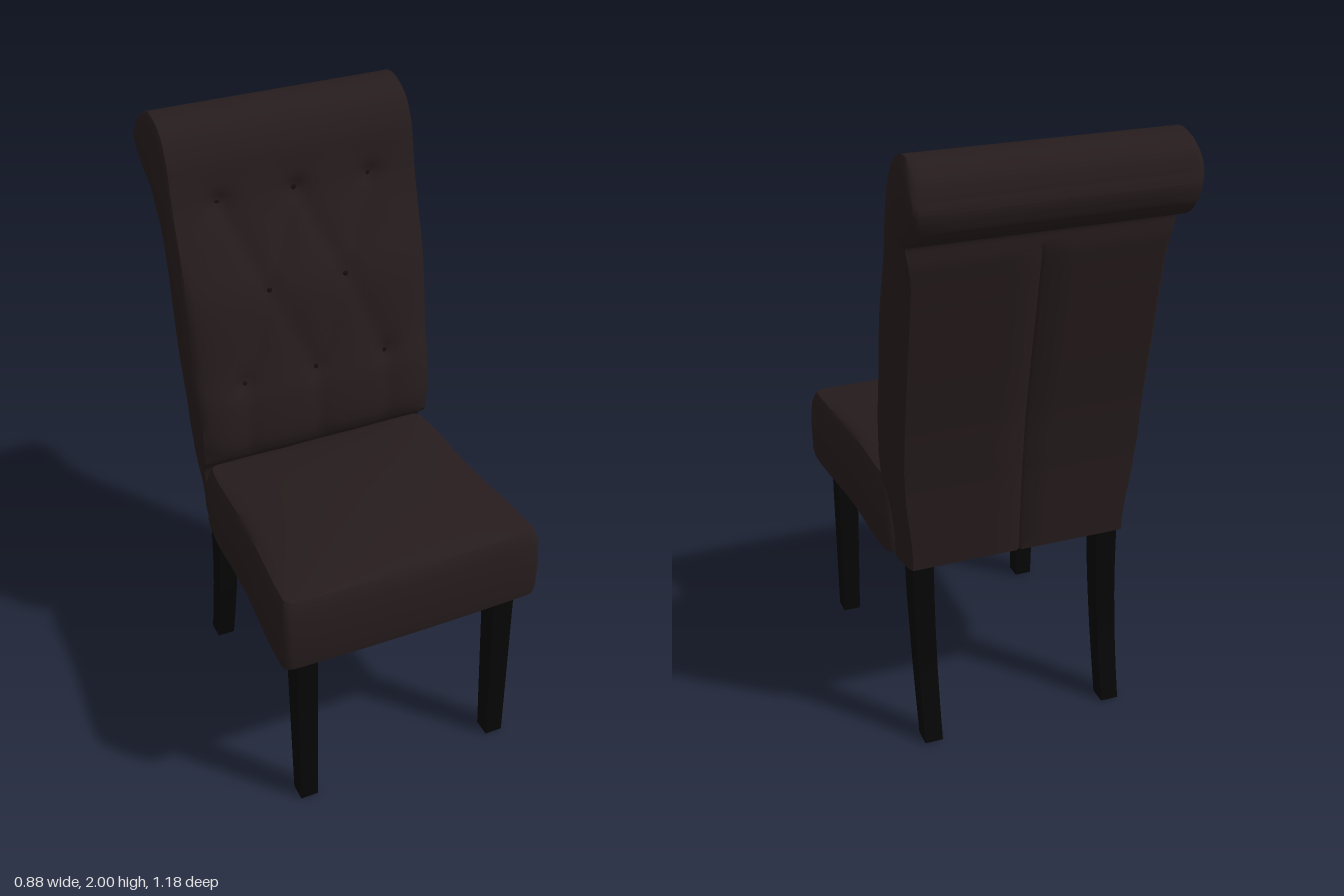
import * as THREE from 'three';
import { toCreasedNormals } from 'three/addons/utils/BufferGeometryUtils.js';

// Skin a stack of counter-clockwise rings (bottom to top) and cap both ends
function loft(rings, crease) {
  const n = rings[0].length, pos = [], idx = [];
  rings.forEach(r => r.forEach(p => pos.push(p.x, p.y, p.z)));
  for (let i = 0; i < rings.length - 1; i++) {
    for (let j = 0; j < n; j++) {
      const k = (j + 1) % n, a = i * n + j, b = i * n + k, c = a + n, d = b + n;
      idx.push(a, b, d, a, d, c);
    }
  }
  [0, rings.length - 1].forEach((row, end) => {
    const mid = new THREE.Vector3();
    rings[row].forEach(p => mid.addScaledVector(p, 1 / n));
    const m = pos.length / 3;
    pos.push(mid.x, mid.y, mid.z);
    for (let j = 0; j < n; j++) {
      const a = row * n + j, b = row * n + (j + 1) % n;
      if (end) idx.push(a, b, m); else idx.push(b, a, m);
    }
  });
  const g = new THREE.BufferGeometry();
  g.setAttribute('position', new THREE.Float32BufferAttribute(pos, 3));
  g.setIndex(idx);
  return toCreasedNormals(g, crease);
}

const V = (x, y, z) => new THREE.Vector3(x, y, z);
const smooth = THREE.MathUtils.smoothstep;
const curve = pts => new THREE.CatmullRomCurve3(pts.map(([z, y]) => V(0, y, z)), false, 'centripetal');

// Backrest: matching front and rear profiles (z, y), meeting at the rear of the roll
const frontCurve = curve([[-.19, .63], [-.19, .86], [-.14, .9], [-.118, .95], [-.124, 1.1], [-.15, 1.22], [-.195, 1.45],
  [-.25, 1.6], [-.298, 1.73], [-.315, 1.8], [-.335, 1.89], [-.375, 1.96], [-.44, 1.995], [-.5, 1.995], [-.56, 1.955], [-.588, 1.88]]);
const rearCurve = curve([[-.31, .63], [-.325, .86], [-.33, .92], [-.336, .97], [-.35, 1.1], [-.37, 1.22], [-.41, 1.43],
  [-.435, 1.56], [-.457, 1.68], [-.462, 1.745], [-.485, 1.75], [-.515, 1.76], [-.55, 1.78], [-.575, 1.81], [-.588, 1.85], [-.59, 1.87]]);

// Tufting: buttons and the folds that join them
const buttons = [[-.255, 1.74], [0, 1.74], [.255, 1.74], [-.132, 1.455], [.132, 1.455], [-.25, 1.17], [0, 1.17], [.25, 1.17]];
const folds = [];
for (const s of [-1, 1]) {
  for (const [x, y] of [[.255, 1.74], [0, 1.74], [.25, 1.17], [0, 1.17]]) folds.push([s * .132, 1.455, s * x, y, 1]);
  folds.push([s * .25, 1.17, s * .25, .93, .8]);
}
folds.push([0, 1.17, 0, .93, .8]);

function tuft(x, y) {
  let depth = 0;
  for (const [ax, ay, bx, by, k] of folds) {
    const dx = bx - ax, dy = by - ay;
    const t = THREE.MathUtils.clamp(((x - ax) * dx + (y - ay) * dy) / (dx * dx + dy * dy), 0, 1);
    const d = Math.hypot(x - ax - t * dx, y - ay - t * dy);
    depth = Math.max(depth, .018 * k * Math.exp(-d / .045));
  }
  for (const [bx, by] of buttons) depth += .012 * Math.exp(-(((x - bx) ** 2 + (y - by) ** 2) / .0012));
  return depth;
}

function backrestGeometry() {
  const rings = [], rows = 90, cols = 40;
  for (let i = 0; i <= rows; i++) {
    const F = frontCurve.getPoint(i / rows), B = rearCurve.getPoint(i / rows);
    const thick = F.distanceTo(B);
    const w = .375 + .031 * smooth(F.y, .65, .98);
    const rearW = w * (.95 + .05 * smooth(B.y, 1.6, 1.76));
    const bulge = (.01 + .016 * smooth(F.y, .9, 1.3)) * Math.min(1, thick / .15);
    const onFront = F.z > -.38 ? 1 : 0;
    // the front face rolls back toward its side edges
    const edge = .032 * smooth(F.y, .86, .95) * (1 - smooth(F.y, 1.2, 1.8));
    const ring = [], sides = [.06, .2, .4, .6, .8, .94];
    const side = (s, dir) => {
      const p = F.clone().setZ(F.z - edge).lerp(B, s);
      p.x = dir * (THREE.MathUtils.lerp(w, rearW, s) + bulge * Math.pow(Math.sin(Math.PI * s), .6));
      ring.push(p);
    };
    for (let j = 0; j <= cols; j++) {
      const u = 2 * j / cols - 1;
      ring.push(V(u * w, F.y, F.z - onFront * tuft(u * w, F.y) * (1 - u ** 8) - edge * u ** 8));
    }
    sides.forEach(s => side(s, 1));
    // rear face with a centre seam groove
    const groove = F.y < 1.75 ? .008 : 0;
    for (const u of [1, .75, .5, .25, .03, 0, -.03, -.25, -.5, -.75, -1]) {
      ring.push(V(u * rearW, B.y, B.z + (u === 0 ? groove : 0)));
    }
    [...sides].reverse().forEach(s => side(s, -1));
    rings.push(ring);
  }
  return loft(rings, .75);
}

// Seat: rounded square outline in u, v, widened toward the front
function seatGeometry() {
  const outline = [], r = .07;
  for (let c = 0; c < 4; c++) {
    const rot = (u, v) => {
      const a = c * Math.PI / 2;
      return [u * Math.cos(a) + v * Math.sin(a), -u * Math.sin(a) + v * Math.cos(a)];
    };
    // each side runs toward its next counter-clockwise corner
    for (let k = 0; k < 9; k++) outline.push(rot(-(1 - r) + 2 * (1 - r) * k / 9, 1));
    for (let k = 0; k < 4; k++) {
      const a = Math.PI / 2 * k / 4;
      outline.push(rot(1 - r + r * Math.sin(a), 1 - r + r * Math.cos(a)));
    }
  }
  const ring = (k, yOf) => outline.map(([a, b]) => {
    const u = a * k, v = b * k;
    const z = .198 + v * .384 + (v > 0 ? .008 * v * (1 - u * u) : 0);
    const half = .412 + .03 * smooth(z, .1, .55) - .01 * (1 - smooth(z, -.18, -.05));
    return V(u * half, yOf(u, v), z);
  });
  const levels = [[.95, .622], [.985, .63], [.997, .66], [1, .75], [.99, .83], [.965, .87], [.95, .88]];
  const rings = levels.map(([k, y]) => ring(k, () => y));
  const crown = (u, v) => .88 + .052 * Math.pow(Math.max(0, (1 - (u / .95) ** 2) * (1 - (v / .95) ** 2)), .7);
  for (const k of [.92, .86, .76, .64, .5, .36, .22, .08]) rings.push(ring(k, crown));
  return loft(rings, .5);
}

// Leg sections: [y, z rear, z front, x inner, x outer]
function legGeometry(sections, side) {
  return loft(sections.map(([y, z0, z1, x0, x1]) => {
    const [a, b] = side > 0 ? [x0, x1] : [-x1, -x0];
    return [V(a, y, z1), V(b, y, z1), V(b, y, z0), V(a, y, z0)];
  }), .5);
}

export function createModel() {
  const mat = (name, color) => Object.assign(new THREE.MeshStandardMaterial({ color }), { name });
  const leather = mat('brown upholstery', 0x261c1d);
  const wood = mat('black wood', 0x060606);
  const buttonMat = mat('dark button', 0x140e0f);
  const lining = mat('olive lining', 0x473b26);

  const model = new THREE.Group();
  model.name = 'diningChair';
  const add = (name, geometry, material) => {
    const m = new THREE.Mesh(geometry, material);
    m.name = name;
    model.add(m);
    return m;
  };

  add('backrest', backrestGeometry(), leather);
  add('seat', seatGeometry(), leather);
  add('seatLining', new THREE.BoxGeometry(.7, .006, .64), lining).position.set(0, .621, .18);

  // Buttons sit in the tufted hollows
  for (const [x, y] of buttons) {
    let t = 0;
    while (t < 1 && frontCurve.getPoint(t).y < y) t += .001;
    const b = add('button', new THREE.SphereGeometry(.01, 12, 8), buttonMat);
    b.scale.z = .5;
    b.position.set(x, y, frontCurve.getPoint(t).z - tuft(x, y) + .002);
  }

  // Straight front legs, and swept rear legs set slightly closer together
  const front = [[0, .48, .54, .315, .375], [.64, .455, .535, .308, .38]];
  const rear = [[0, -.362, -.3, .285, .345], [.12, -.337, -.275, .284, .346], [.25, -.315, -.25, .283, .347],
    [.38, -.3, -.23, .282, .348], [.5, -.29, -.216, .281, .35], [.65, -.285, -.208, .28, .352]];
  for (const s of [1, -1]) {
    const name = s > 0 ? 'Left' : 'Right';
    add('front' + name + 'Leg', legGeometry(front, s), wood);
    add('rear' + name + 'Leg', legGeometry(rear, s), wood);
  }
  return model;
}
